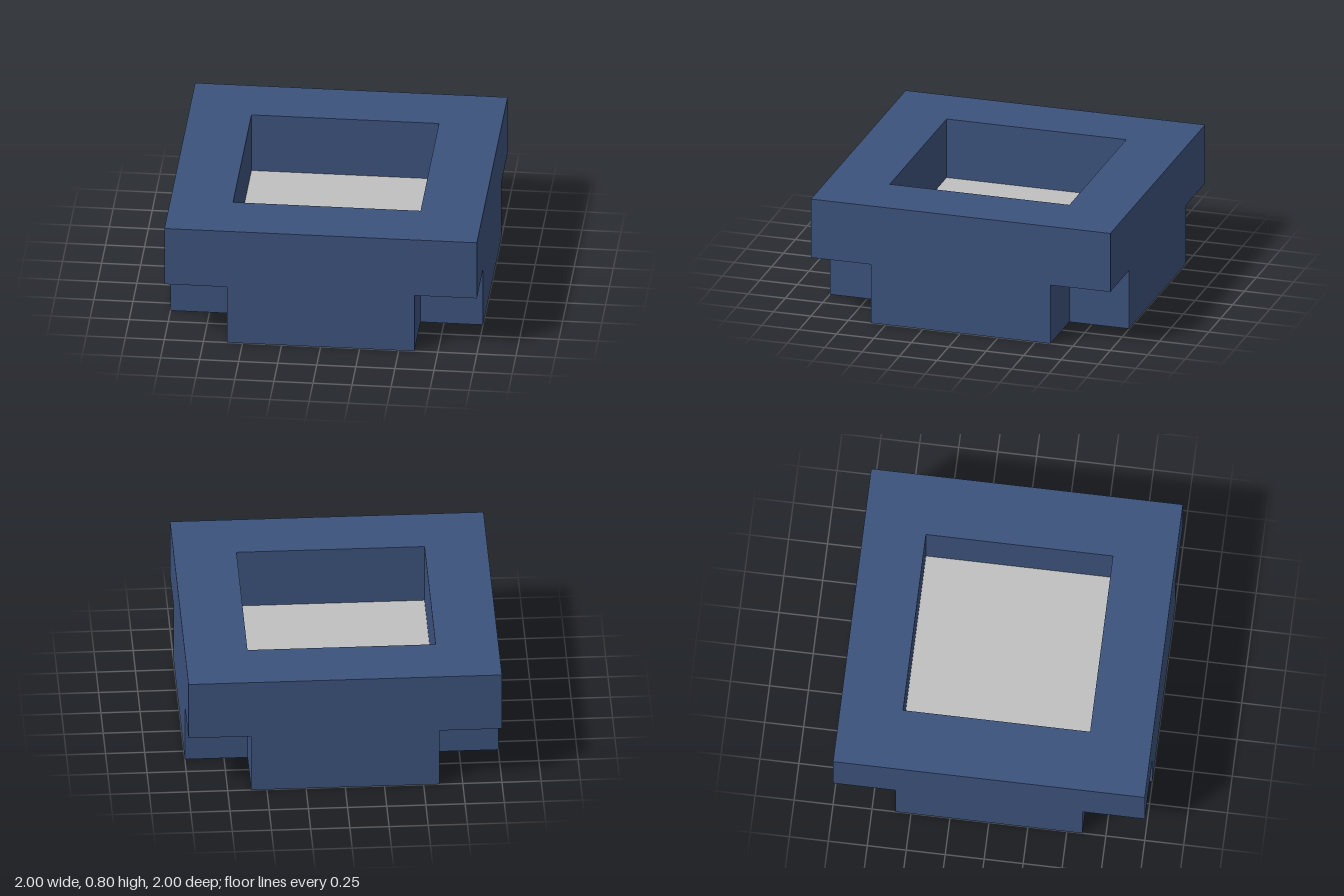
import * as THREE from 'three';

export function createModel() {
  const model = new THREE.Group();
  const blue = new THREE.MeshStandardMaterial({ color: 0x3c527c });
  blue.name = 'blue';
  const grey = new THREE.MeshStandardMaterial({ color: 0xc0c0c0 });
  grey.name = 'grey';

  const add = (name, geometry, material, x, y, z) => {
    const mesh = new THREE.Mesh(geometry, material);
    mesh.name = name;
    mesh.position.set(x, y, z);
    model.add(mesh);
    return mesh;
  };

  // Points of a centred square with half-side h
  const square = (h) => [[-h, -h], [h, -h], [h, h], [-h, h]].map(([x, y]) => new THREE.Vector2(x, y));

  // Upper square rim with a square opening
  const rimShape = new THREE.Shape(square(1));
  rimShape.holes.push(new THREE.Path(square(0.6)));
  const rim = new THREE.ExtrudeGeometry(rimShape, { depth: 0.4, bevelEnabled: false });
  rim.rotateX(-Math.PI / 2);
  add('rim', rim, blue, 0, 0.4, 0);

  // Floor block, flush with the underside
  add('floor', new THREE.BoxGeometry(1.2, 0.4, 1.2), grey, 0, 0.2, 0);

  // Lower side blocks, leaving the four corners notched
  for (const s of [-1, 1]) {
    const side = s > 0 ? 'left' : 'right';
    const end = s > 0 ? 'front' : 'back';
    add(side + 'Block', new THREE.BoxGeometry(0.4, 0.4, 1.2), blue, s * 0.8, 0.2, 0);
    add(end + 'Block', new THREE.BoxGeometry(1.2, 0.4, 0.4), blue, 0, 0.2, s * 0.8);
  }

  return model;
}
